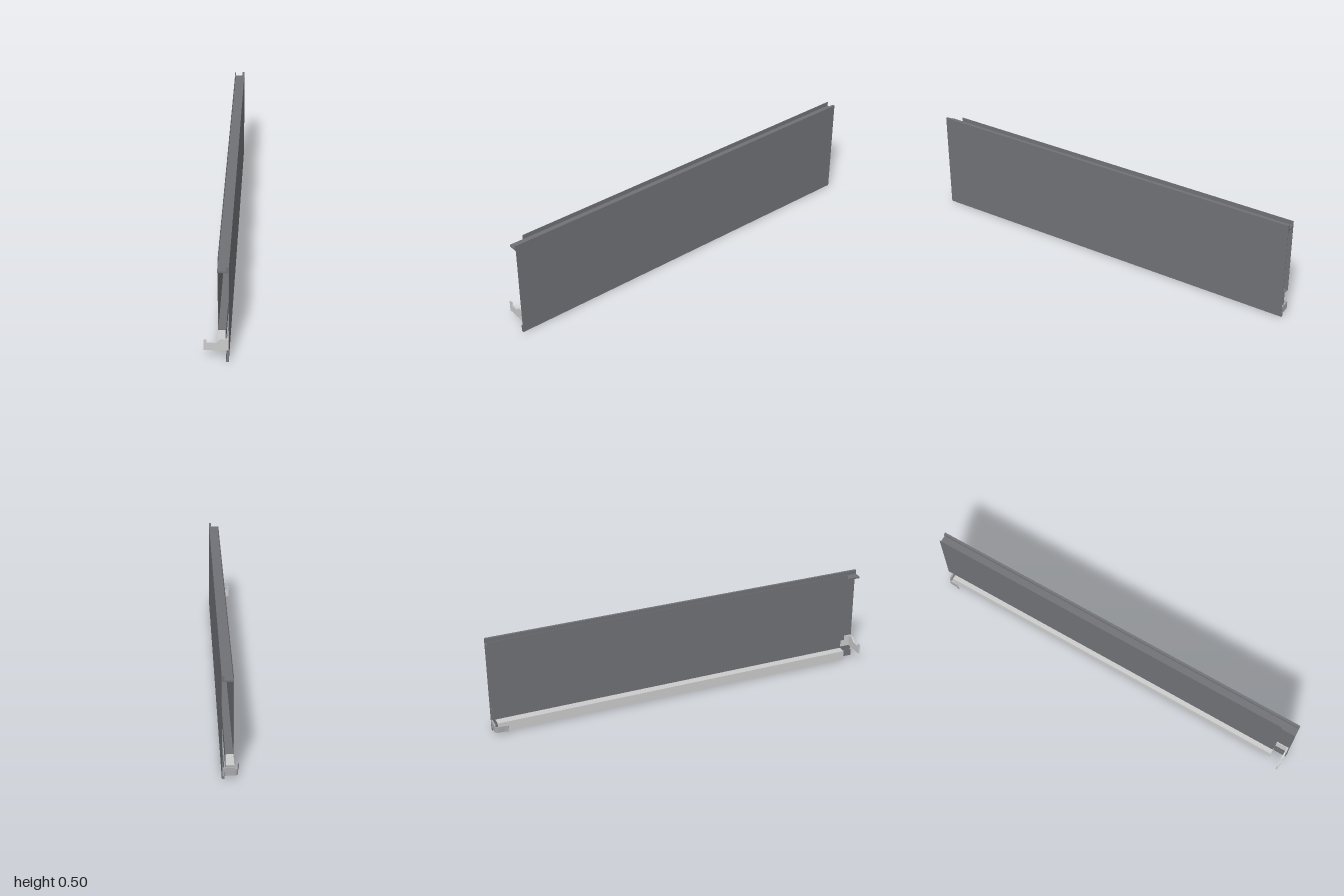
import * as THREE from 'three';

const DARK = 0x707175, MID = 0xa8a8ab, LIGHT = 0xcccccc;

function mesh(name, geo, color) {
  const mat = new THREE.MeshStandardMaterial({ color, side: THREE.DoubleSide, flatShading: true });
  const m = new THREE.Mesh(geo, mat);
  m.name = name;
  return m;
}

// Closed outline of a bent sheet: the path offset to both sides with mitred corners
function sheetShape(path, t) {
  const p = path.map(([x, y]) => new THREE.Vector2(x, y));
  const normal = (a, b) => new THREE.Vector2(a.y - b.y, b.x - a.x).normalize();
  const left = [], right = [];
  p.forEach((v, i) => {
    const n1 = normal(p[Math.max(i - 1, 0)], p[Math.max(i, 1)]);
    const n2 = i < p.length - 1 ? normal(v, p[i + 1]) : n1;
    const m = n1.clone().add(n2).normalize();
    m.multiplyScalar(t / 2 / m.dot(n1));
    left.push(v.clone().add(m));
    right.unshift(v.clone().sub(m));
  });
  return new THREE.Shape([...left, ...right]);
}

// Cross-section in x, y swept from z0 to z1
function along(shape, z0, z1) {
  const g = new THREE.ExtrudeGeometry(shape, { depth: z1 - z0, bevelEnabled: false });
  return g.translate(0, 0, z0);
}

// Plan drawn in x, z and raised from y0 to y1
function upright(shape, y0, y1) {
  const g = new THREE.ExtrudeGeometry(shape, { depth: y1 - y0, bevelEnabled: false });
  return g.rotateX(Math.PI / 2).translate(0, y1, 0);
}

const polygon = pts => new THREE.Shape(pts.map(([x, y]) => new THREE.Vector2(x, y)));

export function createModel() {
  const group = new THREE.Group();
  group.name = 'drawerSide';

  // Outer skin with a hem folded in along the bottom
  group.add(mesh('outerPanel', along(sheetShape(
    [[0.055, 0.504], [0.055, 0.001], [0.045, 0.001], [0.045, 0.035]], 0.002), -1, 1), DARK));

  // Top channel floor and outer lip
  group.add(mesh('topChannel', along(polygon([
    [0.005, 0.475], [0.056, 0.475], [0.056, 0.505], [0.044, 0.505],
    [0.044, 0.49], [0.046, 0.49], [0.046, 0.483], [0.005, 0.483]]), -1, 1), DARK));

  // Inner skin, stepping outward to a web below
  group.add(mesh('innerPanel', along(sheetShape(
    [[0.005, 0.505], [0.005, 0.126], [0.04, 0.126], [0.04, 0.06]], 0.002), -1, 0.93), DARK));

  // Support rail with a down-turned edge
  group.add(mesh('bottomRail', along(sheetShape(
    [[0.041, 0.058], [0.001, 0.058], [0.001, 0.008]], 0.002), -0.98, 0.93), LIGHT));

  // Front bracket: notched plate and a leg fixed to the side
  const bracket = new THREE.Group();
  bracket.name = 'frontBracket';
  bracket.add(mesh('bracketPlate', along(polygon([
    [-0.057, 0.06], [0.054, 0.06], [0.054, 0.12], [0.02, 0.12], [0.001, 0.1],
    [-0.043, 0.1], [-0.043, 0.115], [-0.057, 0.115]]), 0.987, 0.995), LIGHT));
  const leg = new THREE.BoxGeometry(0.004, 0.06, 0.06).translate(0.052, 0.09, 0.96);
  bracket.add(mesh('bracketLeg', leg, LIGHT));
  group.add(bracket);

  // Rear catch: end plate and a spring tongue curling forward
  const rearCatch = new THREE.Group();
  rearCatch.name = 'rearCatch';
  rearCatch.add(mesh('catchPlate', along(polygon([
    [0, 0.017], [0.054, 0.017], [0.054, 0.055], [0.003, 0.055], [0, 0.051]]), -1, -0.992), MID));
  rearCatch.add(mesh('catchTongue', upright(sheetShape([
    [0.004, -0.997], [-0.006, -0.996], [-0.012, -0.991], [-0.015, -0.982],
    [-0.016, -0.95], [-0.018, -0.94], [-0.022, -0.932]], 0.004), 0.017, 0.047), MID));
  group.add(rearCatch);

  return group;
}
